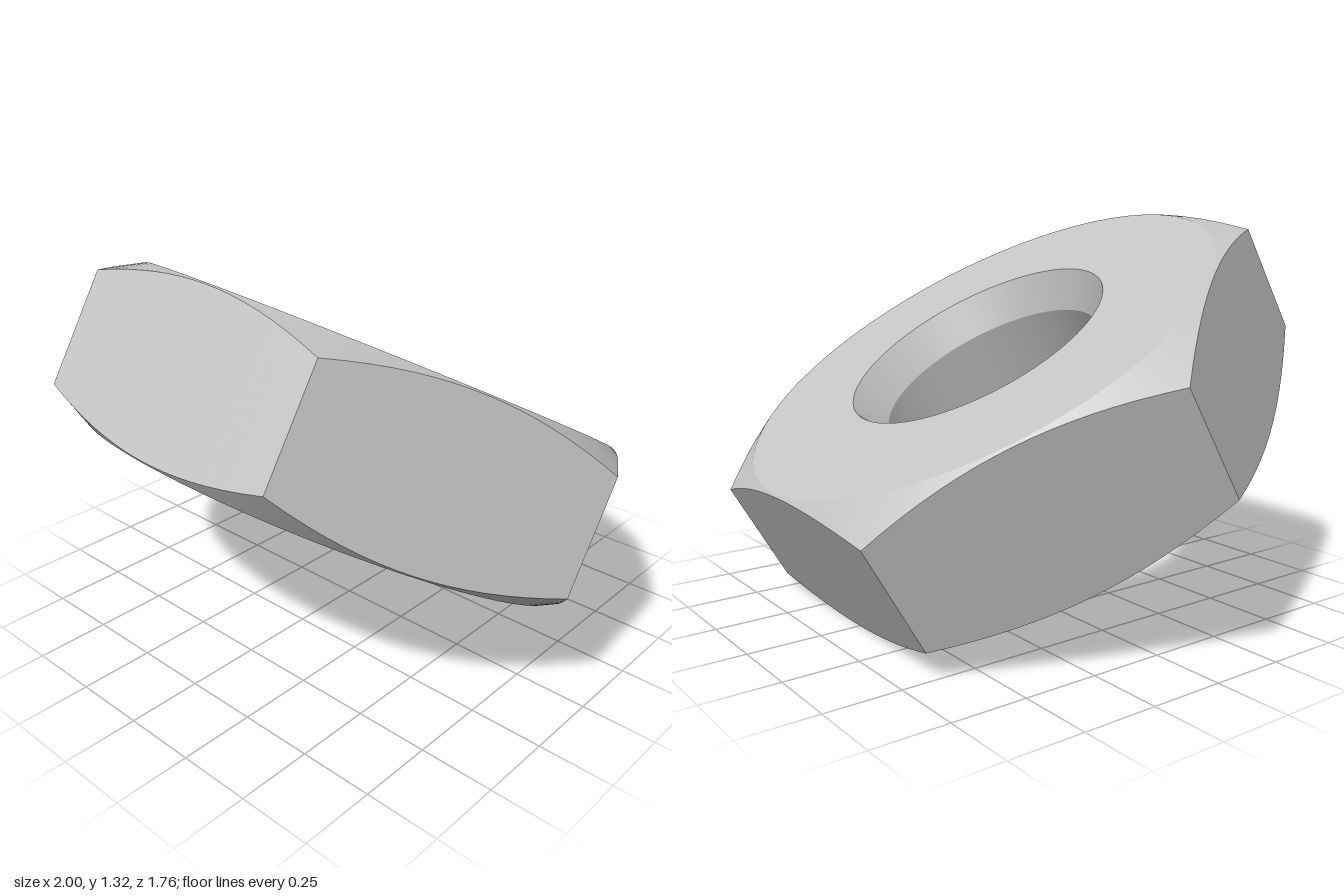
import * as THREE from 'three';

const SEGMENTS = 96; // multiple of six, so columns land on the corners
const APOTHEM = 0.858, HALF = 0.275; // hexagon half-width across flats, half thickness
const CHAMFER_R = 0.849, SLOPE = 0.577; // 30 degree corner chamfer
const BORE_R = 0.398, RIM_R = 0.467, BORE_H = 0.146;

// Hexagon outline radius at an angle, with corners at multiples of 60 degrees
function hexRadius(a) {
  const sector = Math.PI / 3;
  return APOTHEM / Math.cos((a % sector) - sector / 2);
}

// Rings return [radius, height] at an angle
const circle = (r, h) => () => [r, h];
const hexEdge = (sign) => (a) => {
  const r = hexRadius(a);
  return [r, sign * (HALF - SLOPE * (r - CHAMFER_R))];
};

// Closed band of quads between two rings
function band(name, from, to, material, faceted = false) {
  const positions = [], index = [];
  for (let i = 0; i < SEGMENTS; i++) {
    const a = (i / SEGMENTS) * Math.PI * 2;
    for (const ring of [from, to]) {
      const [r, h] = ring(a);
      positions.push(r * Math.cos(a), h, r * Math.sin(a));
    }
    const p = i * 2, q = ((i + 1) % SEGMENTS) * 2;
    index.push(p, p + 1, q, q, p + 1, q + 1);
  }
  let geometry = new THREE.BufferGeometry();
  geometry.setAttribute('position', new THREE.Float32BufferAttribute(positions, 3));
  geometry.setIndex(index);
  if (faceted) geometry = geometry.toNonIndexed();
  geometry.computeVertexNormals();
  const mesh = new THREE.Mesh(geometry, material);
  mesh.name = name;
  return mesh;
}

export function createModel() {
  const steel = new THREE.MeshStandardMaterial({ color: 0xc4c4c4 });
  steel.name = 'steel grey';

  const nut = new THREE.Group();
  nut.name = 'hexNut';

  // Walk the cross-section: up the sides, over the top, down the bore, back out below
  nut.add(
    band('hexSides', hexEdge(-1), hexEdge(1), steel, true),
    band('topCornerChamfer', hexEdge(1), circle(CHAMFER_R, HALF), steel),
    band('topFace', circle(CHAMFER_R, HALF), circle(RIM_R, HALF), steel),
    band('topBoreChamfer', circle(RIM_R, HALF), circle(BORE_R, BORE_H), steel),
    band('bore', circle(BORE_R, BORE_H), circle(BORE_R, -BORE_H), steel),
    band('bottomBoreChamfer', circle(BORE_R, -BORE_H), circle(RIM_R, -HALF), steel),
    band('bottomFace', circle(RIM_R, -HALF), circle(CHAMFER_R, -HALF), steel),
    band('bottomCornerChamfer', circle(CHAMFER_R, -HALF), hexEdge(-1), steel),
  );

  // Tilt the nut: its axis leans back and a little to the side
  const axis = new THREE.Vector3(0.05, 0.868, -0.495).normalize();
  const side = new THREE.Vector3(0.9985, -0.04, 0.035);
  const front = side.clone().cross(axis).normalize();
  side.copy(axis).cross(front);
  nut.quaternion.setFromRotationMatrix(new THREE.Matrix4().makeBasis(side, axis, front));
  nut.position.y = 0.663;

  const model = new THREE.Group();
  model.name = 'model';
  model.add(nut);
  return model;
}
